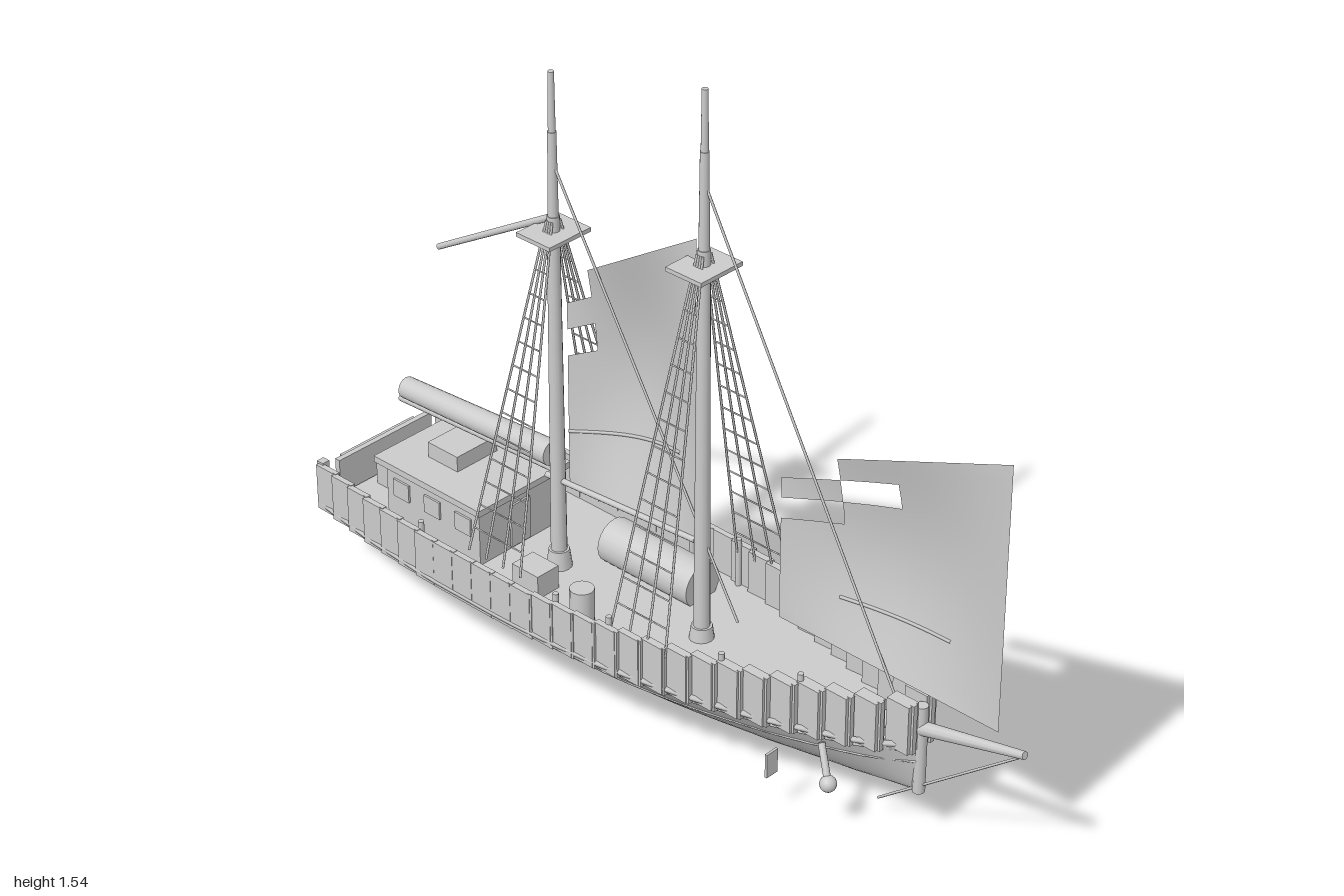
import * as THREE from 'three';
import { toCreasedNormals } from 'three/addons/utils/BufferGeometryUtils.js';

const mat = new THREE.MeshStandardMaterial({ color: 0xcccccc });
const thin = new THREE.MeshStandardMaterial({ color: 0xcccccc, side: THREE.DoubleSide });
const V = (x, y, z) => new THREE.Vector3(x, y, z);

export function createModel() {
  const model = new THREE.Group();
  model.name = 'sailingShip';

  const add = (name, geo, material = mat, parent = model) => {
    const mesh = new THREE.Mesh(geo, material);
    mesh.name = name;
    parent.add(mesh);
    return mesh;
  };
  const group = (name) => {
    const g = new THREE.Group();
    g.name = name;
    model.add(g);
    return g;
  };
  const box = (name, w, h, d, x, y, z, parent) => {
    const m = add(name, new THREE.BoxGeometry(w, h, d), mat, parent);
    m.position.set(x, y, z);
    return m;
  };
  // Round bar between two points
  const bar = (name, a, b, r0, r1 = r0, sides = 10, parent = model) => {
    const dir = b.clone().sub(a);
    const m = add(name, new THREE.CylinderGeometry(r1, r0, dir.length(), sides), mat, parent);
    m.position.copy(a).add(b).multiplyScalar(0.5);
    m.quaternion.setFromUnitVectors(V(0, 1, 0), dir.normalize());
    return m;
  };
  // Surface grid from a function, with optional missing cells
  const grid = (nu, nv, point, missing = () => false) => {
    const pos = [], index = [];
    for (let i = 0; i <= nu; i++)
      for (let j = 0; j <= nv; j++) pos.push(...point(i / nu, j / nv));
    for (let i = 0; i < nu; i++)
      for (let j = 0; j < nv; j++) {
        if (missing(i, j)) continue;
        const a = i * (nv + 1) + j, b = a + nv + 1;
        index.push(a, b, b + 1, a, b + 1, a + 1);
      }
    const g = new THREE.BufferGeometry();
    g.setAttribute('position', new THREE.Float32BufferAttribute(pos, 3));
    g.setIndex(index);
    g.computeVertexNormals();
    return g;
  };
  // Smooth value through [z, value] stations
  const through = (pts) => (z) => {
    const k = Math.max(0, pts.findIndex((p, i) => i < pts.length - 1 && z <= pts[i + 1][0]));
    const [z0, v0] = pts[k], [z1, v1] = pts[k + 1];
    return v0 + (v1 - v0) * Math.min(1, (z - z0) / (z1 - z0));
  };

  // Hull lines
  const STERN = -0.905, BOW = 0.73;
  const halfWidth = through([[-0.905, 0.195], [-0.7, 0.222], [-0.5, 0.235], [-0.2, 0.235], [0, 0.225],
    [0.2, 0.195], [0.4, 0.15], [0.6, 0.09], [0.68, 0.055], [0.74, 0.012]]);
  const keelY = through([[-0.905, 0.06], [-0.7, 0.037], [-0.45, 0.027], [-0.15, 0.027], [0.1, 0.037],
    [0.35, 0.058], [0.55, 0.085], [0.74, 0.122]]);
  const deckY = through([[-0.905, 0.2], [-0.3, 0.2], [0.1, 0.212], [0.4, 0.225], [0.74, 0.25]]);
  const railY = through([[-0.905, 0.305], [-0.2, 0.305], [0.1, 0.317], [0.4, 0.335], [0.74, 0.358]]);
  const section = (z, s) => {
    const p = z > 0.2 ? 1.6 - 0.5 * (z - 0.2) : 1.6;
    return [halfWidth(z) * s, keelY(z) + (deckY(z) - keelY(z)) * Math.pow(Math.abs(s), p), z];
  };
  const lerpZ = (u) => STERN + (BOW - STERN) * u;
  add('hull', toCreasedNormals(grid(30, 20, (u, v) => section(lerpZ(u), 1 - v * 2)), 0.6), thin);
  add('deck', grid(30, 1, (u, v) => {
    const z = lerpZ(u);
    return [halfWidth(z) * (v * 2 - 1), deckY(z), z];
  }), thin);
  add('transom', grid(20, 1, (u, v) => {
    const p = section(STERN, u * 2 - 1);
    return [p[0], v ? 0.2 : p[1], STERN];
  }), thin);

  // Rubbing strakes along both sides
  for (const side of [-1, 1])
    for (const [s, r] of [[1, 0.007], [0.92, 0.004], [0.72, 0.003]]) {
      const pts = [];
      for (let i = 0; i <= 16; i++) pts.push(V(...section(lerpZ(i / 16), s * side)));
      add('strake', new THREE.TubeGeometry(new THREE.CatmullRomCurve3(pts), 40, r, 5));
    }

  // Stepped bulwark panels with small pins on the rail
  const bulwark = group('bulwark');
  const COUNT = 27, len = (BOW - STERN) / COUNT;
  for (let i = 0; i < COUNT; i++) {
    const z = STERN + (i + 0.5) * len;
    const t = 0.014 + Math.max(0, z) * 0.025, y0 = deckY(z) - 0.012, y1 = railY(z);
    for (const side of [-1, 1]) {
      const x = side * (halfWidth(z) + 0.004 - t / 2);
      box('bulwarkPanel', t, y1 - y0, len * 0.98, x, (y0 + y1) / 2, z, bulwark);
      box('bulwarkRib', 0.012, y1 - y0 + 0.003, 0.01, x, (y0 + y1) / 2, z + len / 2, bulwark);
    }
  }
  for (const z of [-0.54, -0.12, 0.03, 0.31, 0.49])
    for (const side of [-1, 1])
      bar('railPin', V(side * (halfWidth(z) - 0.015), deckY(z), z),
        V(side * (halfWidth(z) - 0.015), railY(z) + 0.018, z), 0.007, 0.007, 8, bulwark);

  // Stern rail, rudder and stem
  box('sternRail', 0.29, 0.09, 0.014, 0, 0.25, -0.897);
  box('sternPlate', 0.23, 0.07, 0.014, 0, 0.25, -0.915);
  for (const side of [-1, 1]) {
    box('sternPost', 0.02, 0.13, 0.02, side * 0.185, 0.245, -0.9);
    box('sternLedge', 0.07, 0.015, 0.02, side * 0.13, 0.16, -0.91);
  }
  box('rudder', 0.022, 0.2, 0.085, 0, 0.1, -0.9575);
  bar('stem', V(0, 0.12, 0.728), V(0, 0.34, 0.728), 0.014);

  // Bowsprit and its stay
  bar('bowsprit', V(0, 0.255, 0.62), V(0, 0.35, 0.997), 0.019, 0.009);
  bar('bobstay', V(0, 0.335, 0.98), V(0, 0.045, 0.62), 0.003, 0.003, 6);

  // Anchors and bow plates
  for (const side of [-1, 1]) {
    bar('anchorShank', V(side * 0.095, 0.2, 0.54), V(side * 0.117, 0.125, 0.58), 0.008);
    add('anchorBall', new THREE.SphereGeometry(0.019, 14, 10)).position.set(side * 0.117, 0.125, 0.58);
    box('bowPlate', 0.034, 0.06, 0.006, side * 0.15, 0.13, 0.45);
  }

  // Masts with crosstrees, shrouds and ratlines
  const mast = (name, z, trees, top) => {
    const g = group(name);
    bar('lowerMast', V(0, 0.2, z), V(0, trees + 0.04, z), 0.019, 0.014, 14, g);
    bar('topmast', V(0, trees - 0.06, z), V(0, top - 0.14, z), 0.013, 0.01, 12, g);
    bar('masthead', V(0, top - 0.14, z), V(0, top, z), 0.0085, 0.007, 12, g);
    bar('mastCollar', V(0, 0.2, z), V(0, 0.245, z), 0.03, 0.024, 14, g);
    box('crosstree', 0.125, 0.01, 0.1, 0, trees, z, g);
    for (const side of [-1, 1]) {
      const at = (k, t) => V(side * (0.2 - 0.188 * t), 0.3 + (trees - 0.27) * t, z + k * 0.08 * (1 - t * 0.9));
      for (const k of [-1, -0.33, 0.33, 1]) bar('shroud', at(k, 0), at(k, 1), 0.003, 0.003, 5, g);
      for (let i = 1; i < 13; i++) bar('ratline', at(-1, i / 14), at(1, i / 14), 0.002, 0.002, 5, g);
    }
  };
  mast('foremast', 0.11, 1.135, 1.54);
  mast('aftMast', -0.325, 1.05, 1.43);
  bar('forestay', V(0, 1.32, 0.115), V(0, 0.31, 0.665), 0.003, 0.003, 6);
  bar('middleStay', V(0, 1.21, -0.32), V(0, 0.3, 0.215), 0.003, 0.003, 6);

  // Bellied, torn sails: front and back edges given as [z, bottom, top]
  const sail = (name, front, back, belly, cols, missing, seam) => {
    const point = (u, v) => {
      const [z, lo, hi] = front.map((f, i) => f + (back[i] - f) * u);
      return [belly * Math.sin(Math.PI * u) * Math.sin(Math.PI * v) + 0.002, lo + (hi - lo) * v, z];
    };
    const inTear = (i, j) => missing(Math.floor(i / 2), Math.floor(j / 2));
    add(name, grid(cols * 2, 16, point, inTear), thin);
    const pts = [];
    for (let i = 0; i <= 8; i++) pts.push(V(...point(seam[0] + (seam[1] - seam[0]) * i / 8, seam[2])));
    add('reefBand', new THREE.TubeGeometry(new THREE.CatmullRomCurve3(pts), 16, 0.004, 5));
  };
  const tornEdge = (j) => j === 5 || j === 7;
  sail('headsail', [0.925, 0.37, 1.01], [0.33, 0.37, 0.77], 0.045, 4,
    (i, j) => (i === 3 && tornEdge(j)) || (i === 2 && j === 6), [0.25, 0.75, 0.24]);
  sail('mainSail', [0.087, 0.46, 1.19], [-0.29, 0.43, 0.955], 0.06, 6,
    (i, j) => i === 5 && tornEdge(j), [0.17, 1, 0.26]);

  // Spars and the furled aft sail
  bar('mainBoom', V(0, 0.455, 0.09), V(0, 0.425, -0.36), 0.007);
  bar('gaff', V(0, 1.085, -0.33), V(0, 0.877, -0.685), 0.008, 0.007);
  bar('aftBoom', V(0, 0.45, -0.34), V(0, 0.427, -0.83), 0.009);
  bar('furledSail', V(0, 0.488, -0.34), V(0, 0.462, -0.81), 0.03, 0.026, 18);

  // Deckhouse with windows and roof hatch
  const house = group('deckhouse');
  box('cabin', 0.25, 0.15, 0.3, 0, 0.27, -0.6, house);
  box('roof', 0.29, 0.016, 0.34, 0, 0.353, -0.6, house);
  box('roofHatch', 0.125, 0.04, 0.095, 0, 0.38, -0.63, house);
  for (const side of [-1, 1])
    for (const z of [-0.7, -0.6, -0.5])
      box('window', 0.008, 0.045, 0.05, side * 0.126, 0.29, z, house);
  box('door', 0.06, 0.11, 0.008, 0, 0.26, -0.449, house);

  // Deck gear
  box('steeringStand', 0.1, 0.06, 0.05, 0, 0.23, -0.845);
  add('steeringKnob', new THREE.SphereGeometry(0.016, 14, 10)).position.set(0, 0.275, -0.845);
  bar('deckRoll', V(0.11, 0.245, -0.26), V(0.11, 0.245, 0.01), 0.054, 0.054, 20);
  bar('cask', V(-0.125, 0.2, -0.13), V(-0.125, 0.29, -0.13), 0.028, 0.028, 16);
  box('crate', 0.065, 0.06, 0.08, -0.1, 0.23, -0.3);

  return model;
}
